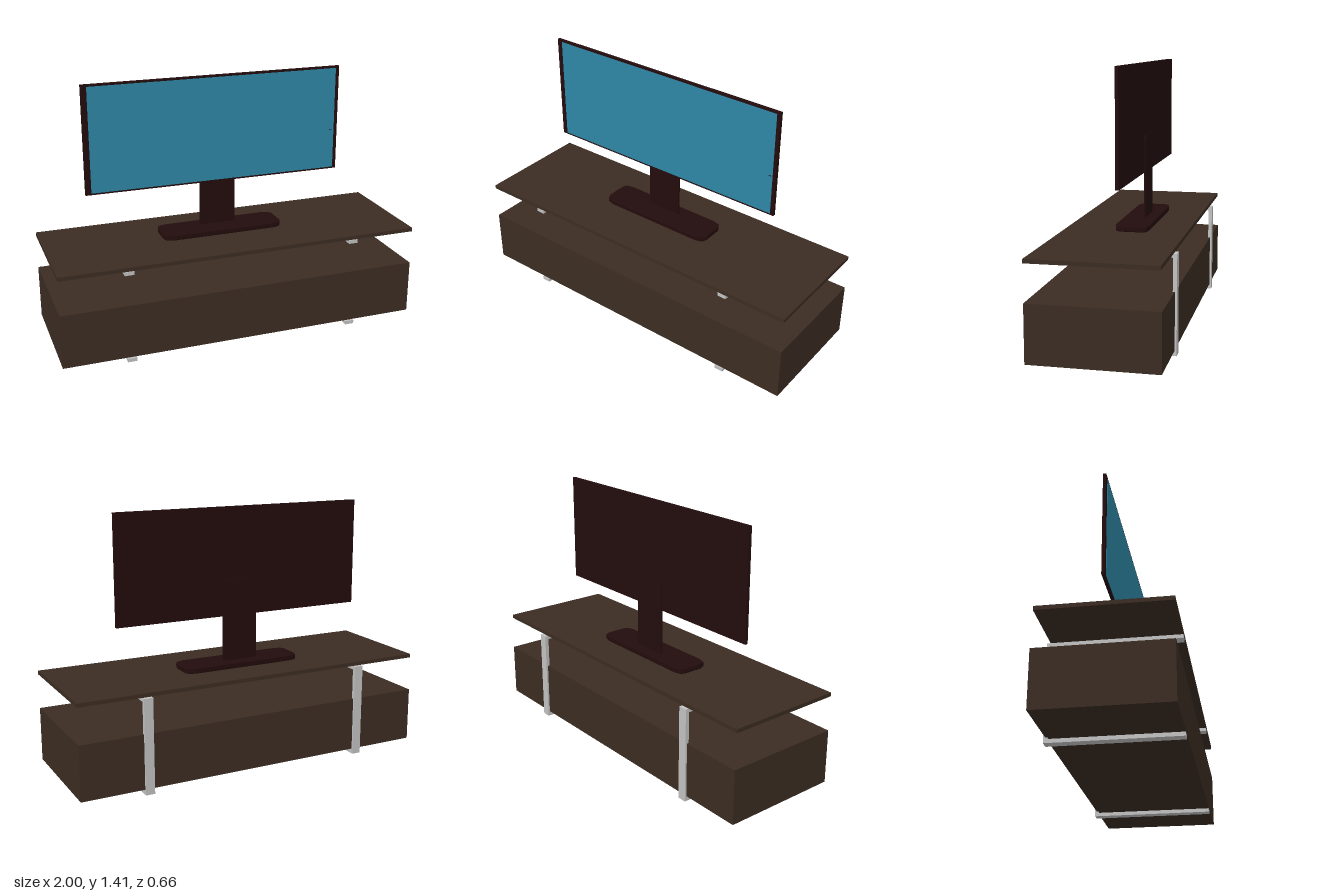
import * as THREE from 'three';

const mat = (name, color, side = THREE.FrontSide) => {
  const m = new THREE.MeshStandardMaterial({ color, side });
  m.name = name;
  return m;
};

export function createModel() {
  const root = new THREE.Group();
  root.name = 'mediaUnit';
  const wood = mat('dark wood', 0x3b2c22);
  const metal = mat('bracket metal', 0xc2c2c2);
  const plastic = mat('dark plastic', 0x230c0d);
  const glass = mat('screen blue', 0x2e86a5);

  const add = (name, geometry, material, parent = root) => {
    const mesh = new THREE.Mesh(geometry, material);
    mesh.name = name;
    parent.add(mesh);
    return mesh;
  };
  // Box given by its limits on each axis
  const box = (name, [x0, x1], [y0, y1], [z0, z1], material, parent) => {
    const g = new THREE.BoxGeometry(x1 - x0, y1 - y0, z1 - z0);
    g.translate((x0 + x1) / 2, (y0 + y1) / 2, (z0 + z1) / 2);
    return add(name, g, material, parent);
  };

  // Cabinet and floating shelf
  box('cabinet', [-1, 1], [0.028, 0.325], [-0.323, 0.332], wood);
  box('shelf', [-1, 1], [0.516, 0.537], [-0.317, 0.332], wood);

  // Two C-shaped brackets, open to the front
  const profile = new THREE.Shape([
    [0.332, 0], [-0.333, 0], [-0.333, 0.514], [0.332, 0.514],
    [0.332, 0.494], [-0.312, 0.494], [-0.312, 0.02], [0.332, 0.02],
  ].map(([z, y]) => new THREE.Vector2(-z, y)));
  for (const side of [-1, 1]) {
    const g = new THREE.ExtrudeGeometry(profile, { depth: 0.05, bevelEnabled: false });
    g.translate(0, 0, -0.025);
    g.rotateY(Math.PI / 2);
    g.translate(side * 0.633, 0, 0);
    add(side > 0 ? 'leftBracket' : 'rightBracket', g, metal);
  }

  const tv = new THREE.Group();
  tv.name = 'television';
  root.add(tv);

  // Stand foot with clipped corners and a fine bevel
  const w = 0.338, d = 0.088;
  const corner = [[w, d - 0.034], [w - 0.012, d - 0.01], [w - 0.05, d]];
  const back = [...corner].reverse();
  const outline = [
    ...corner,
    ...back.map(([x, y]) => [-x, y]),
    ...corner.map(([x, y]) => [-x, -y]),
    ...back.map(([x, y]) => [x, -y]),
  ].map(([x, y]) => new THREE.Vector2(x, y));
  const foot = new THREE.ExtrudeGeometry(new THREE.Shape(outline), {
    depth: 0.023, bevelEnabled: true, bevelThickness: 0.004, bevelSize: 0.004, bevelSegments: 1,
  });
  foot.rotateX(-Math.PI / 2);
  foot.translate(-0.022, 0.541, -0.028);
  add('standFoot', foot, plastic, tv);

  // Flat neck running up behind the panel, top corners clipped
  const neckShape = new THREE.Shape([
    [-0.128, 0.56], [0.075, 0.56], [0.075, 1.0], [0.055, 1.023], [-0.108, 1.023], [-0.128, 1.0],
  ].map(([x, y]) => new THREE.Vector2(x, y)));
  const neck = new THREE.ExtrudeGeometry(neckShape, { depth: 0.009, bevelEnabled: false });
  neck.translate(0, 0, -0.057);
  add('standNeck', neck, plastic, tv);

  // Panel, screen face and the tiny row of buttons
  box('panel', [-0.765, 0.687], [0.817, 1.409], [-0.051, -0.034], plastic, tv);
  box('screen', [-0.734, 0.667], [0.826, 1.398], [-0.036, -0.0325], glass, tv);
  for (let i = 0; i < 3; i++) {
    const x = 0.64 + i * 0.007;
    box('button', [x, x + 0.004], [1.045, 1.049], [-0.033, -0.0315], plastic, tv);
  }
  return root;
}
